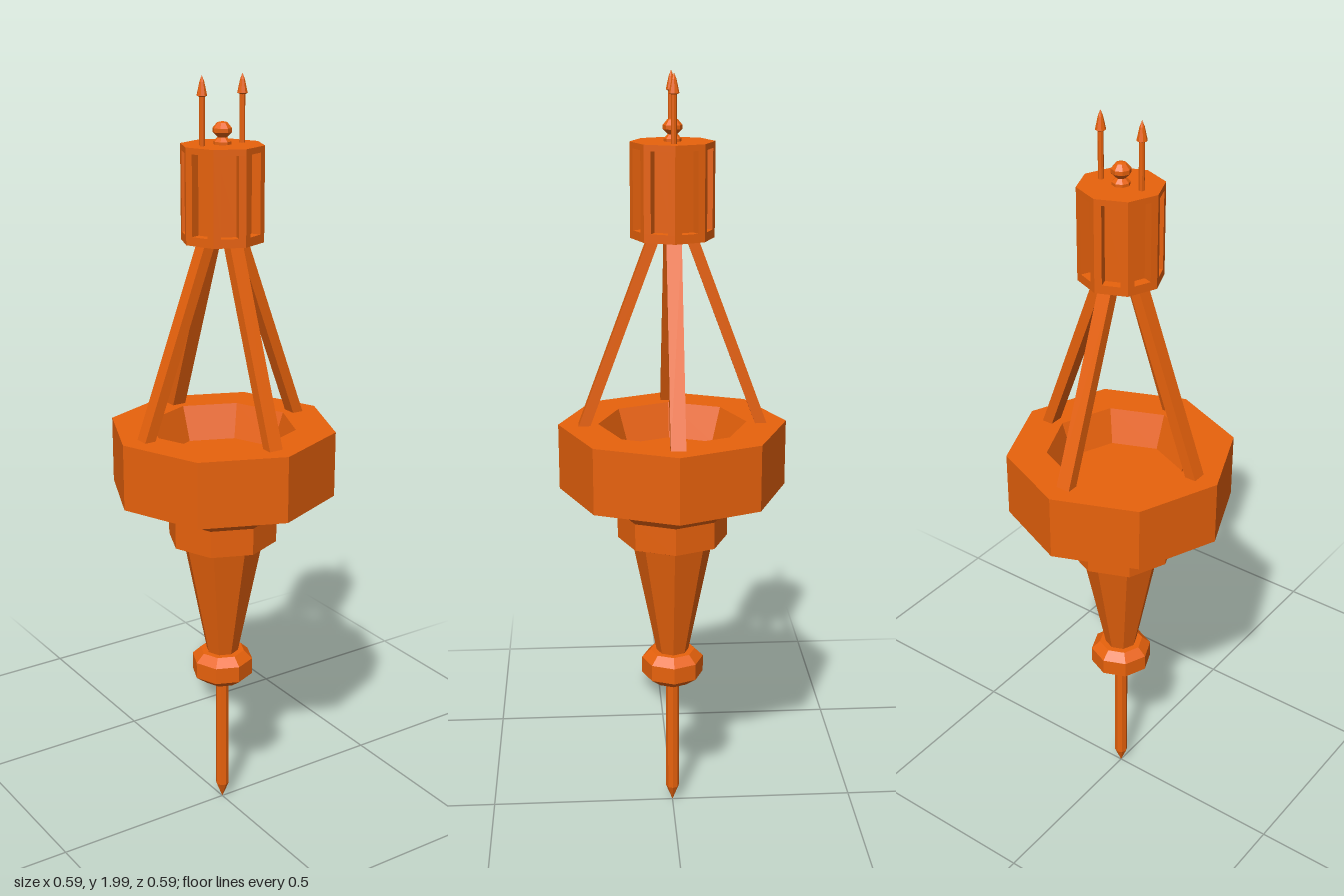
import * as THREE from 'three';

const material = new THREE.MeshStandardMaterial({ color: 0xe8620c, flatShading: true });

function add(parent, name, geometry, x = 0, y = 0, z = 0) {
  const mesh = new THREE.Mesh(geometry, material);
  mesh.name = name;
  mesh.position.set(x, y, z);
  parent.add(mesh);
  return mesh;
}

// Eight-sided turned part; profile is [radius, height] from bottom to top
const turned = (profile) =>
  new THREE.LatheGeometry(profile.map(([r, y]) => new THREE.Vector2(r, y)), 8);

// Square bar whose ends stay horizontal while it leans inwards
function leaningBar(r0, y0, r1, y1, depth, width) {
  const geometry = new THREE.BoxGeometry(depth, y1 - y0, width);
  geometry.translate(0, (y0 + y1) / 2, 0);
  const p = geometry.attributes.position;
  for (let i = 0; i < p.count; i++) {
    const t = (p.getY(i) - y0) / (y1 - y0);
    p.setX(i, p.getX(i) + r0 + (r1 - r0) * t);
  }
  geometry.computeVertexNormals();
  return geometry;
}

export function createModel() {
  const model = new THREE.Group();
  model.name = 'spireStation';

  // Lower spire: needle, knob and tapering column
  add(model, 'needle', turned([[0, 0.01], [0.018, 0.055], [0.018, 0.4]]));
  add(model, 'knob', turned([[0, 0.38], [0.05, 0.385], [0.083, 0.41], [0.083, 0.455], [0.06, 0.477], [0, 0.477]]));
  add(model, 'column', turned([[0.042, 0.47], [0.108, 0.8]]));
  add(model, 'collar', turned([[0, 0.795], [0.115, 0.795], [0.145, 0.807], [0.145, 0.88], [0.195, 0.937]]));

  // Wide ring with a sunken bowl
  add(model, 'ring', turned([
    [0, 0.935], [0.195, 0.935], [0.295, 0.947], [0.295, 1.12],
    [0.192, 1.12], [0.16, 1.03], [0, 1.03],
  ]));

  // Four leaning struts
  for (let i = 0; i < 4; i++) {
    add(model, 'strut', leaningBar(0.229, 1.115, 0.046, 1.605, 0.03, 0.038)).rotation.y = (i * Math.PI) / 2;
  }

  // Lantern: end plates, recessed core and corner posts
  const lantern = new THREE.Group();
  lantern.name = 'lantern';
  model.add(lantern);
  const R = 0.105;
  const plate = (y0, y1) => turned([[0, y0], [R, y0], [R, y1], [0, y1]]);
  add(lantern, 'bottomPlate', plate(1.6, 1.622));
  add(lantern, 'topPlate', plate(1.82, 1.835));
  add(lantern, 'core', turned([[0.078, 1.61], [0.078, 1.825]]));

  const a = Math.PI / 8;
  const along = 0.018;
  const dx = along * Math.sin(a);
  const dy = along * Math.cos(a);
  const post = new THREE.Shape([
    new THREE.Vector2(R, 0),
    new THREE.Vector2(R - dx, dy),
    new THREE.Vector2(R - dx - 0.03, dy - 0.011),
    new THREE.Vector2(R - dx - 0.03, 0.011 - dy),
    new THREE.Vector2(R - dx, -dy),
  ]);
  const postGeometry = new THREE.ExtrudeGeometry(post, { depth: 0.2, bevelEnabled: false });
  postGeometry.rotateX(-Math.PI / 2);
  for (let i = 0; i < 8; i++) {
    add(lantern, 'cornerPost', postGeometry, 0, 1.621, 0).rotation.y = (i * Math.PI) / 4;
  }

  // Finial and pair of antennas on the roof
  add(model, 'finial', turned([
    [0.022, 1.833], [0.022, 1.842], [0.012, 1.852], [0.024, 1.864],
    [0.024, 1.874], [0.013, 1.887], [0, 1.89],
  ]));
  for (const x of [-0.058, 0.058]) {
    add(model, 'antenna', turned([
      [0.007, 1.833], [0.007, 1.95], [0.013, 1.953], [0.006, 1.985], [0, 2],
    ]), x);
  }

  return model;
}
